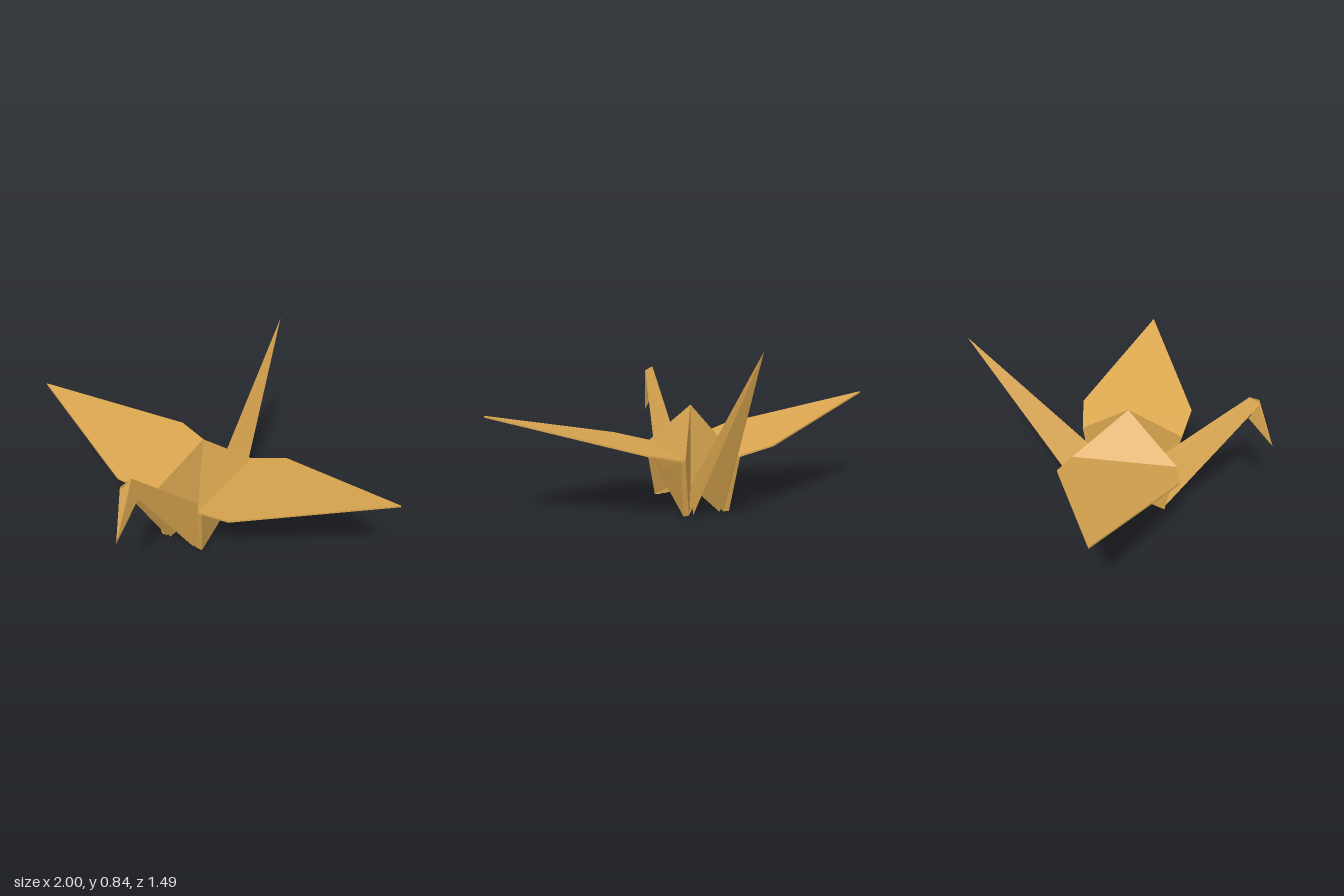
import * as THREE from 'three';

const paper = new THREE.MeshStandardMaterial({ color: 0xdba750, flatShading: true, side: THREE.DoubleSide });
const V = (x, y, z) => new THREE.Vector3(x, y, z);

// Folded sheet: every polygon is a list of corners, fanned from its first corner
function sheet(name, polygons) {
  const corners = [];
  for (const p of polygons) {
    for (let i = 1; i < p.length - 1; i++) corners.push(p[0], p[i], p[i + 1]);
  }
  const geometry = new THREE.BufferGeometry().setFromPoints(corners);
  geometry.computeVertexNormals();
  const mesh = new THREE.Mesh(geometry, paper);
  mesh.name = name;
  return mesh;
}

// Closed thin slab made from a flat outline dropped by a thickness
function slab(name, outline, thickness) {
  const low = outline.map((p) => V(p.x, p.y - thickness, p.z));
  const rims = outline.map((p, i) => {
    const j = (i + 1) % outline.length;
    return [p, low[i], low[j], outline[j]];
  });
  return sheet(name, [[...outline].reverse(), low, ...rims]);
}

export function createModel() {
  const model = new THREE.Group();
  model.name = 'foldedPaperBird';
  const bird = new THREE.Group();
  bird.name = 'bird';
  bird.position.z = 0.035;
  model.add(bird);

  const peak = V(0, 0.505, 0);
  const core = V(0, 0.085, 0);

  for (const s of [1, -1]) {
    const side = s > 0 ? 'left' : 'right';
    const hip = (e) => V(0.13 * s, 0.285, 0.26 * e);
    const hipOuter = (e) => V(0.152 * s, 0.283, 0.26 * e);
    const foot = (e) => V(0.092 * s, 0, 0.205 * e);
    const footOuter = (e) => V(0.12 * s, 0, 0.207 * e);
    const notch = V(0.124 * s, 0.09, 0);

    // Back slope and hanging side of the body
    bird.add(sheet(side + 'BodySlope', [[peak, hip(1), hip(-1)]]));
    bird.add(sheet(side + 'BodyPanel', [[notch, footOuter(1), hipOuter(1), hipOuter(-1), footOuter(-1)]]));

    // Folded edges and inner lining at both ends
    for (const e of [1, -1]) {
      const end = e > 0 ? 'Front' : 'Back';
      bird.add(sheet(side + end + 'BodyEdge', [[hip(e), hipOuter(e), footOuter(e), foot(e)]]));
      bird.add(sheet(side + end + 'Lining', [[hip(e), foot(e), core], [peak, hip(e), core]]));
    }

    // Two triangular flaps under the wing root
    [[0.26, 0.154], [0.105, 0.157]].forEach(([half, x], i) => {
      bird.add(sheet(side + (i ? 'SmallFlap' : 'LargeFlap'), [
        [V(x * s, 0.283, half), V((x - 0.008) * s, 0.18, 0), V(x * s, 0.283, -half)],
      ]));
    });

    // Wing, widest a little way out from the root
    bird.add(slab(side + 'Wing', [
      hip(1), V(0.315 * s, 0.335, 0.292), V(s, 0.517, 0), V(0.315 * s, 0.335, -0.292), hip(-1),
    ], 0.009));

    // Neck and tail: ridged sheets with an inner layer
    for (const width of [0.092, 0.07]) {
      const layer = width > 0.08 ? 'Outer' : 'Inner';
      const root = (e) => V(width * s, 0, 0.207 * e);
      const tipOf = (e) => V(0, 0.838, 0.78 * e);
      const brow = root(1).lerp(tipOf(1), 0.727);
      bird.add(sheet(side + layer + 'Tail', [[core, root(-1), tipOf(-1)]]));
      bird.add(sheet(side + layer + 'Neck', [[core, root(1), brow, V(0, 0.635, 0.575)]]));
    }

    // Head: reverse fold with a valley down the front
    const crown = V(0, 0.635, 0.575);
    const brow = V(0.026 * s, 0.607, 0.624);
    const throat = V(0.033 * s, 0.54, 0.579);
    const beak = V(0, 0.368, 0.711);
    bird.add(sheet(side + 'Head', [[crown, brow, beak], [brow, throat, beak]]));
  }
  return model;
}
